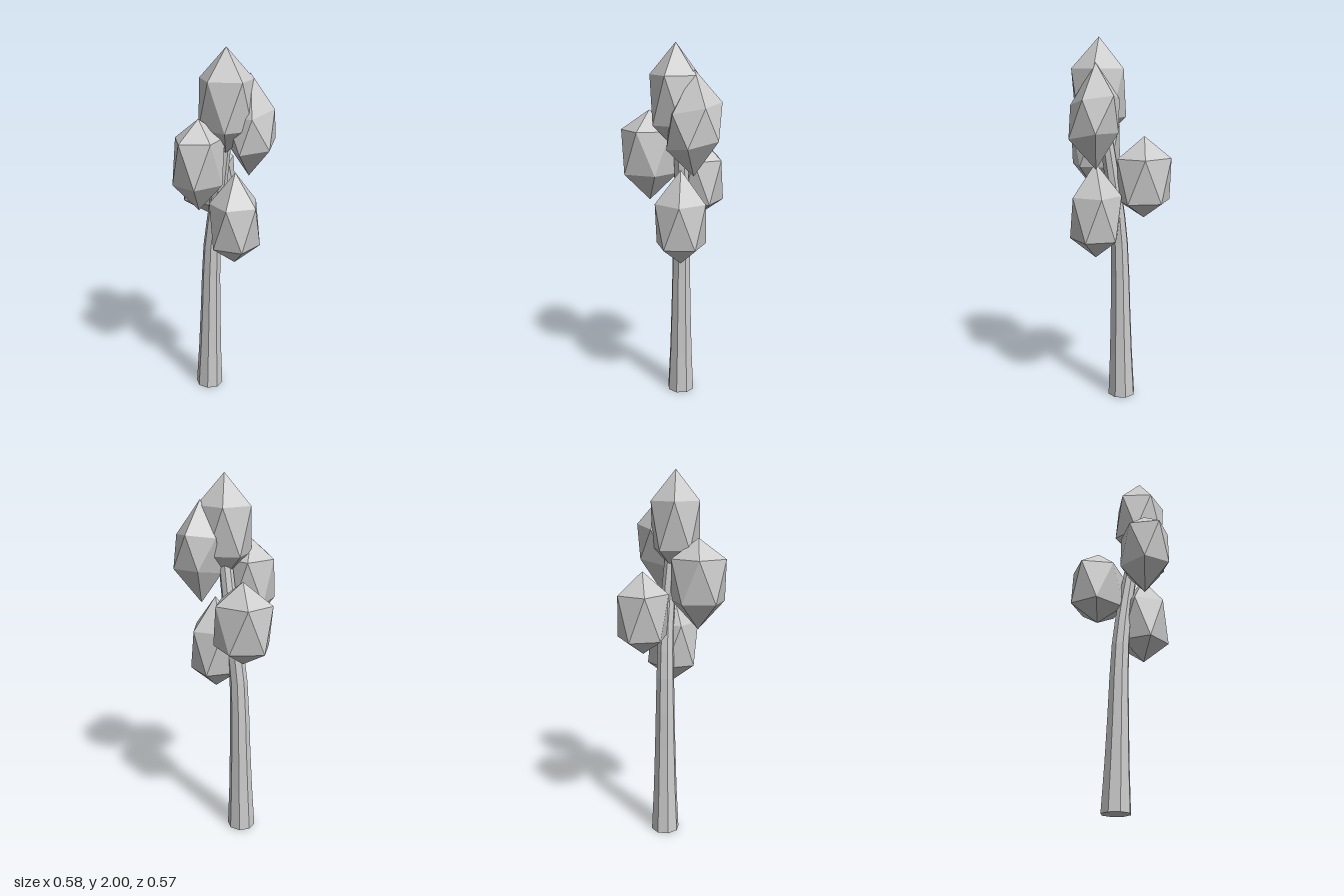
import * as THREE from 'three';

const material = new THREE.MeshStandardMaterial({ color: 0xcccccc, flatShading: true });

// Faceted leaf clump: two staggered five-point rings between a top and a bottom tip.
// levels = heights of top tip, upper ring, lower ring, bottom tip; slope tilts the rings.
function leafClump({ name, x, z, rx, rz, phase, levels, slope = [0, 0], lowerShift = 0 }) {
  const [top, upper, lower, bottom] = levels;
  const ring = (y, startDeg, shift) => Array.from({ length: 5 }, (_, i) => {
    const a = THREE.MathUtils.degToRad(startDeg + 72 * i);
    const dx = rx * Math.cos(a), dz = rz * Math.sin(a);
    return [x + dx + shift, y + slope[0] * dx + slope[1] * dz, z + dz];
  });
  const u = ring(upper, phase, 0), l = ring(lower, phase + 36, lowerShift);
  const tip = [x, top, z], base = [x, bottom, z];
  const points = [];
  for (let i = 0; i < 5; i++) {
    const j = (i + 1) % 5;
    points.push(
      tip, u[j], u[i],
      u[i], u[j], l[i],
      l[i], u[j], l[j],
      l[i], l[j], base
    );
  }
  const geometry = new THREE.BufferGeometry();
  geometry.setAttribute('position', new THREE.Float32BufferAttribute(points.flat(), 3));
  geometry.computeVertexNormals();
  const mesh = new THREE.Mesh(geometry, material);
  mesh.name = name;
  return mesh;
}

// Eight-sided trunk, tapered and bent along a curve
function trunk() {
  const path = new THREE.CatmullRomCurve3([
    new THREE.Vector3(-0.076, 0, -0.043),
    new THREE.Vector3(-0.067, 0.5, -0.043),
    new THREE.Vector3(-0.056, 0.9, -0.043),
    new THREE.Vector3(-0.017, 1.2, -0.043),
    new THREE.Vector3(0.045, 1.6, -0.02),
  ]);
  const rows = 8;
  const geometry = new THREE.CylinderGeometry(1, 1, 1, 8, rows);
  geometry.rotateY(Math.PI / 8);
  const pos = geometry.attributes.position;
  for (let i = 0; i < pos.count; i++) {
    const t = pos.getY(i) + 0.5;
    const c = path.getPoint(t);
    const r = 0.036 + 0.026 * (1 - t) + 0.016 * (1 - t) ** 6;
    pos.setXYZ(i, c.x + pos.getX(i) * r, c.y, c.z + pos.getZ(i) * r);
  }
  geometry.computeVertexNormals();
  const mesh = new THREE.Mesh(geometry, material);
  mesh.name = 'trunk';
  return mesh;
}

export function createModel() {
  const tree = new THREE.Group();
  tree.name = 'tree';
  tree.add(trunk());

  const clumps = [
    { name: 'topLeaves', x: 0.053, z: -0.003, rx: 0.15, rz: 0.135, phase: 29,
      levels: [2, 1.84, 1.59, 1.46] },
    { name: 'leftLeaves', x: 0.145, z: -0.09, rx: 0.127, rz: 0.143, phase: 54,
      levels: [1.87, 1.68, 1.5, 1.33], slope: [0, -0.2], lowerShift: 0.02 },
    { name: 'frontLeaves', x: -0.03, z: 0.131, rx: 0.13, rz: 0.152, phase: 28,
      levels: [1.655, 1.55, 1.32, 1.17] },
    { name: 'rightLeaves', x: -0.14, z: -0.147, rx: 0.16, rz: 0.138, phase: 18,
      levels: [1.49, 1.375, 1.14, 1.05] },
    { name: 'lowLeaves', x: 0.098, z: -0.027, rx: 0.138, rz: 0.141, phase: 8,
      levels: [1.355, 1.18, 0.945, 0.84] },
  ];
  clumps.forEach((c) => tree.add(leafClump(c)));
  return tree;
}
